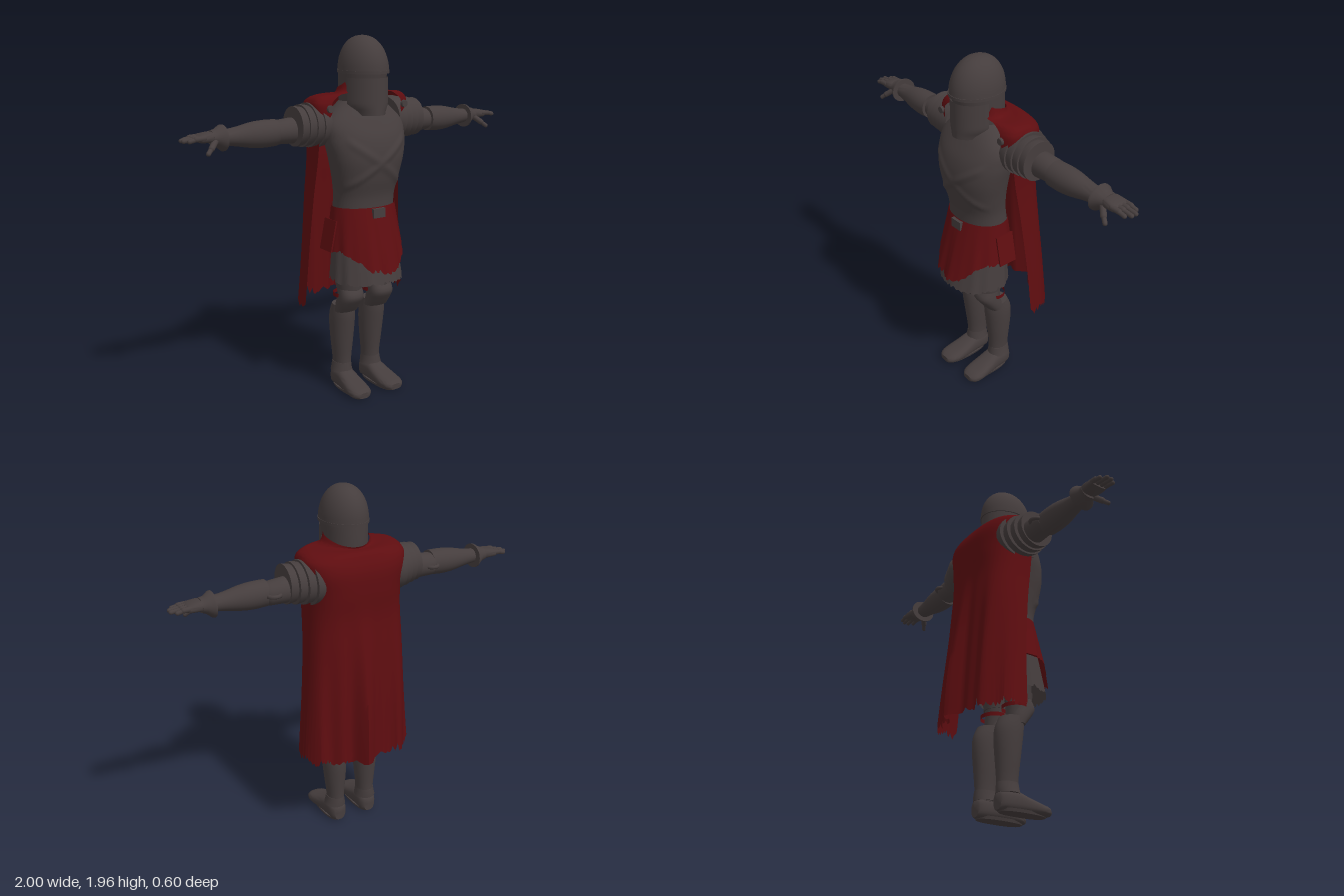
import * as THREE from 'three';
import { mergeVertices, toCreasedNormals } from 'three/addons/utils/BufferGeometryUtils.js';

const steel = new THREE.MeshStandardMaterial({ color: 0x453d3d });
steel.name = 'dark steel';
const cloth = new THREE.MeshStandardMaterial({ color: 0x5e0d10, side: THREE.DoubleSide });
cloth.name = 'crimson cloth';
const plate = new THREE.MeshStandardMaterial({ color: 0x453d3d, side: THREE.DoubleSide });
plate.name = 'thin steel plate';

const { sin, cos, abs, max, min, floor, PI, sign } = Math;
const lerp = THREE.MathUtils.lerp, smooth = THREE.MathUtils.smoothstep;
const pw = (v, p) => sign(v) * abs(v) ** p;
const hash = k => { const s = sin(k * 12.9898 + 4.1) * 43758.5453; return s - floor(s); };
// ragged hem value 0..1, sharp between random teeth
const ragged = (u, teeth) => {
  const k = floor(u * teeth), f = u * teeth - k;
  return lerp(hash(k), hash(k + 1), f) * 0.5 + abs(f - 0.5) * hash(k + 7);
};

// surface from a rule fn(u, v) -> [x, y, z]
function surface(nu, nv, fn, crease = 0.8) {
  const pos = [], idx = [];
  for (let j = 0; j <= nv; j++)
    for (let i = 0; i <= nu; i++) pos.push(...fn(i / nu, j / nv));
  for (let j = 0; j < nv; j++)
    for (let i = 0; i < nu; i++) {
      const a = j * (nu + 1) + i, b = a + 1, c = a + nu + 1, d = c + 1;
      idx.push(a, b, d, a, d, c);
    }
  const g = new THREE.BufferGeometry();
  g.setAttribute('position', new THREE.Float32BufferAttribute(pos, 3));
  g.setIndex(idx);
  return toCreasedNormals(mergeVertices(g, 1e-5), crease);
}

// smooth interpolation through rows of numbers
function sample(rows, t) {
  const n = rows.length - 1, k = min(floor(t * n), n - 1), f = t * n - k;
  const r = i => rows[max(0, min(n, i))];
  return rows[0].map((_, c) => {
    const [a, b, d, e] = [r(k - 1)[c], r(k)[c], r(k + 1)[c], r(k + 2)[c]];
    return b + 0.5 * f * (d - a + f * (2 * a - 5 * b + 4 * d - e + f * (3 * (b - d) + e - a)));
  });
}

// closed body from rows [height, rx, rz, cx, cz], capped at both ends
function loft(rows, n = 28, p = 1, crease = 0.8) {
  const cap = r => [r[0], 0, 0, r[3], r[4]];
  const all = [cap(rows[0]), ...rows, cap(rows[rows.length - 1])];
  return surface(n, all.length - 1, (u, v) => {
    const [y, rx, rz, cx, cz] = all[Math.round(v * (all.length - 1))], a = u * 2 * PI;
    return [cx + rx * pw(sin(a), p), y, cz + rz * pw(cos(a), p)];
  }, crease);
}
const fine = (rows, steps) => Array.from({ length: steps + 1 }, (_, i) => sample(rows, i / steps));

function add(parent, name, geo, mat) {
  const m = new THREE.Mesh(geo, mat);
  m.name = name;
  parent.add(m);
  return m;
}
// loft running outward along x: rows [x, ry, rz, y, z]
const alongX = (rows, n, p) => loft(rows.map(([x, ry, rz, y, z]) => [x, ry, rz, -y, z]), n, p).rotateZ(-PI / 2);

function rod(parent, name, a, b, r) {
  const A = new THREE.Vector3(...a), B = new THREE.Vector3(...b);
  const m = add(parent, name, new THREE.CapsuleGeometry(r, A.distanceTo(B), 4, 10), steel);
  m.position.copy(A).lerp(B, 0.5);
  m.quaternion.setFromUnitVectors(new THREE.Vector3(0, 1, 0), B.sub(A).normalize());
}

function makeArm() {
  const g = new THREE.Group();
  // overlapping shoulder bands, each with a small lip
  for (let i = 0; i < 4; i++) {
    const x = 0.215 + i * 0.042, ry = 0.122 - i * 0.006, rz = 0.138 - i * 0.011, z = -0.022 + i * 0.006;
    add(g, 'shoulderBand', alongX([[x, ry - 0.006, rz - 0.006, 1.5, z], [x + 0.034, ry, rz, 1.5, z],
      [x + 0.046, ry, rz, 1.5, z], [x + 0.046, ry - 0.02, rz - 0.02, 1.5, z]], 32), steel);
  }
  add(g, 'upperArm', alongX([[0.34, 0.06, 0.06, 1.478, -0.02], [0.38, 0.068, 0.07, 1.478, -0.022],
    [0.48, 0.062, 0.066, 1.475, -0.025], [0.5, 0.055, 0.06, 1.475, -0.022]]), steel);
  add(g, 'elbowGuard', new THREE.TorusGeometry(0.034, 0.011, 8, 20), steel).position.set(0.47, 1.478, -0.07);
  g.children.at(-1).rotation.x = PI / 2;
  add(g, 'forearm', alongX(fine([[0.49, 0.068, 0.068, 1.477, -0.012], [0.56, 0.07, 0.07, 1.475, -0.014],
    [0.63, 0.064, 0.064, 1.474, -0.016], [0.71, 0.048, 0.05, 1.473, -0.018], [0.8, 0.036, 0.04, 1.474, -0.02]], 10)), steel);
  add(g, 'cuff', alongX([[0.775, 0.066, 0.076, 1.473, -0.022], [0.785, 0.066, 0.074, 1.473, -0.022],
    [0.815, 0.044, 0.052, 1.476, -0.024], [0.84, 0.036, 0.05, 1.478, -0.024]]), steel);
  // gauntlet hand
  add(g, 'palm', alongX([[0.81, 0.028, 0.04, 1.48, -0.024], [0.85, 0.027, 0.052, 1.482, -0.024],
    [0.9, 0.022, 0.054, 1.48, -0.024], [0.915, 0.015, 0.048, 1.478, -0.024]], 24, 0.7), steel);
  [0.93, 0.982, 0.988, 0.965].forEach((x, i) => {
    const z = 0.018 - i * 0.027, tip = [0.968, 0.987, 0.988, 0.965][i];
    rod(g, 'finger', [0.89, 1.484, z], [0.935, 1.482, z], 0.014);
    rod(g, 'fingerTip', [0.935, 1.48, z], [tip, 1.474, z], 0.0115);
  });
  rod(g, 'thumb', [0.83, 1.465, 0.012], [0.865, 1.435, 0.04], 0.016);
  rod(g, 'thumbTip', [0.865, 1.435, 0.04], [0.89, 1.413, 0.055], 0.012);
  return g;
}

function makeLeg() {
  const g = new THREE.Group();
  add(g, 'thigh', loft([[0.5, 0.055, 0.055, 0.097, 0.06], [0.6, 0.066, 0.068, 0.095, 0.075], [0.9, 0.08, 0.09, 0.09, 0.08]]), steel);
  add(g, 'thighBand', loft([[0.605, 0.07, 0.074, 0.097, 0.075], [0.645, 0.074, 0.078, 0.097, 0.075]]), steel);
  add(g, 'kneeGuard', loft(fine([[0.465, 0.066, 0.045, 0.1, 0.048], [0.51, 0.07, 0.058, 0.1, 0.07],
    [0.56, 0.071, 0.066, 0.098, 0.092], [0.61, 0.066, 0.05, 0.097, 0.085]], 10), 28, 0.85), steel);
  // strap behind the knee
  add(g, 'kneeStrap', surface(28, 1, (u, v) => [0.098 + 0.076 * sin(u * 2 * PI), 0.555 + v * 0.022,
    0.05 + 0.066 * cos(u * 2 * PI)]), cloth);
  add(g, 'shin', loft(fine([[0.09, 0.048, 0.06, 0.096, 0.0], [0.17, 0.05, 0.06, 0.097, 0.0], [0.27, 0.06, 0.069, 0.098, 0.002],
    [0.37, 0.067, 0.079, 0.099, 0.005], [0.44, 0.068, 0.08, 0.1, 0.012], [0.5, 0.064, 0.066, 0.1, 0.025]], 15)), steel);
  add(g, 'ankleBand', loft([[0.095, 0.06, 0.066, 0.1, 0.002], [0.12, 0.054, 0.064, 0.099, 0], [0.15, 0.05, 0.06, 0.098, 0]]), steel);
  // foot runs from heel to toe, rows [z, rx, half height, x, -y]
  add(g, 'foot', loft(fine([[-0.062, 0.032, 0.042, 0.098, -0.05], [-0.035, 0.05, 0.055, 0.098, -0.056],
    [0.04, 0.054, 0.056, 0.1, -0.057], [0.1, 0.06, 0.045, 0.102, -0.046], [0.17, 0.065, 0.033, 0.106, -0.034],
    [0.22, 0.058, 0.026, 0.108, -0.028], [0.245, 0.035, 0.016, 0.108, -0.025]], 14), 28, 0.75).rotateX(PI / 2), steel);
  add(g, 'sole', loft([[0, 0.05, 0.14, 0.1, 0.09], [0.016, 0.055, 0.146, 0.1, 0.09]], 28, 0.8), steel);
  return g;
}

function makeHelmet(parent) {
  const g = new THREE.Group();
  g.name = 'helmet';
  parent.add(g);
  const dome = [[1.765, 0.125, 0.155, 0, 0.068]];
  for (let i = 1; i < 12; i++) {
    const a = i / 12 * PI / 2;
    dome.push([1.775 + 0.18 * sin(a), 0.125 * cos(a) ** 0.9, 0.155 * cos(a) ** 0.9, 0, 0.068 - 0.008 * sin(a)]);
  }
  dome.push([1.955, 0.006, 0.006, 0, 0.06]);
  add(g, 'dome', loft(dome, 40, 1, 0.5), steel);
  add(g, 'helmetBack', loft([[1.58, 0.108, 0.125, 0, 0.045], [1.66, 0.116, 0.138, 0, 0.052], [1.77, 0.12, 0.145, 0, 0.062]], 36), steel);
  // brow rim above the eye slot
  add(g, 'browRim', loft([[1.763, 0.127, 0.158, 0, 0.068], [1.778, 0.127, 0.158, 0, 0.068]], 40), steel);
  // face plate, tapering at its lower corners
  add(g, 'facePlate', surface(32, 12, (u, v) => {
    const a = (u - 0.5) * 2 * 1.4, k = 0.8 + 0.2 * smooth(v, 0, 0.3);
    return [0.121 * sin(a) * k, 1.55 + 0.192 * v, 0.066 + 0.15 * cos(a)];
  }), plate);
}

function makeTorso(parent) {
  const rows = [[1.02, 0.175, 0.13, 0, 0.065], [1.12, 0.175, 0.125, 0, 0.075], [1.22, 0.193, 0.135, 0, 0.09],
    [1.33, 0.218, 0.145, 0, 0.095], [1.43, 0.235, 0.145, 0, 0.08], [1.52, 0.226, 0.13, 0, 0.055], [1.62, 0.12, 0.09, 0, 0.04]];
  // breastplate with two raised diagonal ridges
  add(parent, 'breastplate', surface(112, 56, (u, v) => {
    const [y, rx, rz, , cz] = sample(rows, v), a = u * 2 * PI, x = rx * pw(sin(a), 0.9);
    const d = min(abs(y - 1.3 - 0.7 * x), abs(y - 1.3 + 0.7 * x));
    const ridge = cos(a) > 0.3 ? 0.008 * max(0, 1 - d / 0.035) * smooth(0.2 - abs(x), 0, 0.05) : 0;
    return [x, y, cz + rz * pw(cos(a), 0.9) + ridge];
  }), steel);
}

function makeSkirts(parent) {
  const skirt = (name, top, hemY, bottom, ripple, mat) => add(parent, name, surface(144, 10, (u, v) => {
    const a = (u - 0.5) * 2 * PI, y = lerp(hemY(a, u), top[0], v);
    const t = (top[0] - y) / (top[0] - bottom[0]), w = 1 + ripple * t * (sin(a * 11) + 0.6 * sin(a * 17 + 1));
    return [lerp(top[1], bottom[1], t) * w * sin(a), y, lerp(top[3], bottom[3], t) + lerp(top[2], bottom[2], t) * w * cos(a)];
  }), mat);
  skirt('faulds', [1.03, 0.17, 0.12, 0.07], (a, u) => 0.645 + 0.04 * ragged(u, 36), [0.65, 0.208, 0.18, 0.1], 0.012, plate);
  skirt('waistCloth', [1.065, 0.186, 0.136, 0.068],
    (a, u) => 0.705 + 0.11 * smooth(abs(a), 0.1, 1.2) + 0.06 * ragged(u, 40), [0.72, 0.228, 0.21, 0.09], 0.022, cloth);
  const buckle = add(parent, 'buckle', new THREE.BoxGeometry(0.075, 0.05, 0.02), steel);
  buckle.position.set(0, 1.035, 0.213);
  // hanging side flaps
  for (const s of [-1, 1]) {
    const flap = add(parent, 'sideFlap', new THREE.BoxGeometry(0.009, 0.17, 0.11), cloth);
    flap.position.set(s * 0.211, 0.91, 0.05);
    flap.rotation.z = s * 0.2;
  }
}

function makeCape(parent) {
  // rows [y, half width, z centre, back depth, front depth, wrap in degrees, collar drop at the back]
  const rows = [[0.5, 0.325, -0.03, 0.21, 0.03, 90, 0], [0.8, 0.302, -0.02, 0.205, 0.03, 92, 0], [1.1, 0.28, 0.005, 0.21, 0.03, 93, 0],
    [1.3, 0.268, 0.03, 0.22, 0.04, 95, 0], [1.44, 0.268, 0.04, 0.235, 0.06, 100, 0], [1.55, 0.288, 0.025, 0.215, 0.095, 138, 0],
    [1.62, 0.29, 0.025, 0.185, 0.095, 140, 0], [1.657, 0.25, 0.03, 0.16, 0.09, 140, 0.01], [1.675, 0.15, 0.045, 0.135, 0.08, 135, 0.025],
    [1.75, 0.122, 0.05, 0.142, 0.075, 125, 0.09]];
  add(parent, 'cape', surface(128, 54, (u, v) => {
    const [y, w, zc, back, front, wrap, drop] = sample(rows, v), a = (0.5 - u) * 2 * wrap * PI / 180;
    const p = lerp(0.62, 1, smooth(y, 1.6, 1.68)), c = pw(cos(a), p);
    const x = w * pw(sin(a), p), f = smooth(1.45 - y, 0, 0.85) * max(0, c);
    const fold = 0.07 * Math.exp(-(((x - 0.015) / 0.06) ** 2)) + 0.03 * Math.exp(-(((x + 0.18) / 0.06) ** 2)) + 0.012 * sin(x * 52) - 0.018;
    const hem = 0.09 * (ragged(u, 30) - 0.35) * max(0, 1 - v * 7);
    return [x + 0.012 * smooth(1.3 - y, 0, 0.8), y + hem - drop * (1 + cos(a)) / 2, zc - c * (c > 0 ? back : front) - f * fold];
  }, 1), cloth);
  for (const s of [-1, 1]) {
    const clasp = add(parent, 'capeClasp', new THREE.CylinderGeometry(0.018, 0.02, 0.014, 16), steel);
    clasp.position.set(s * 0.235, 1.59, 0.118);
    clasp.rotation.x = PI / 2;
  }
}

export function createModel() {
  const model = new THREE.Group();
  model.name = 'armouredFigure';
  makeHelmet(model);
  makeTorso(model);
  makeSkirts(model);
  makeCape(model);
  for (const [side, s] of [['left', 1], ['right', -1]])
    for (const [part, make] of [['Arm', makeArm], ['Leg', makeLeg]]) {
      const limb = make();
      limb.name = side + part;
      limb.scale.x = s;
      model.add(limb);
    }
  return model;
}
